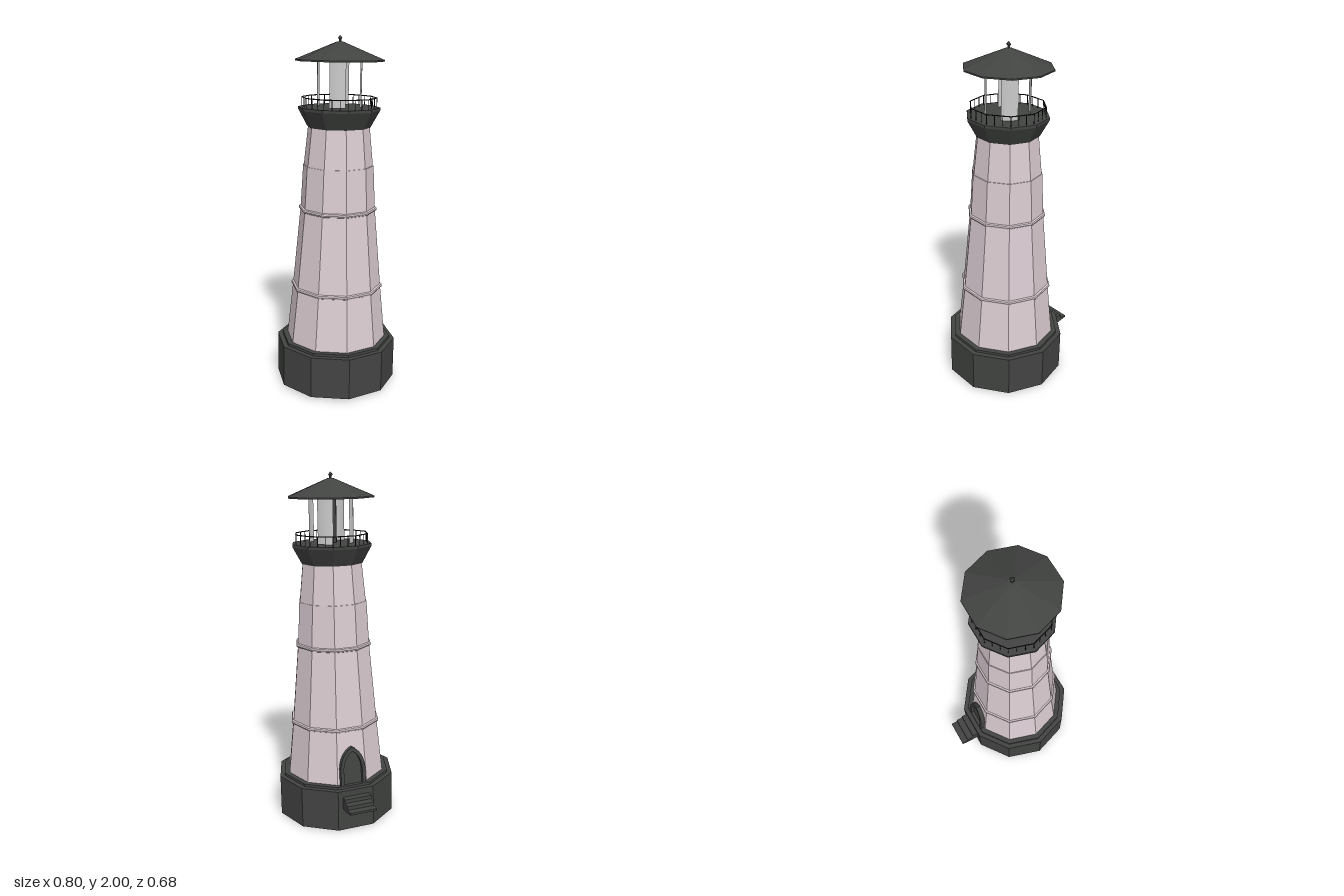
import * as THREE from 'three';

const DEG = Math.PI / 180;
const SIDES = 10;
const START = 20 * DEG; // angle of the first corner of every ten-sided part

const mat = (color, opts = {}) => new THREE.MeshStandardMaterial({ color, flatShading: true, ...opts });
const dark = mat(0x424442);
const black = mat(0x1c1c1c);
const wall = mat(0xdccdd3);
const pane = mat(0xcccccc, { flatShading: false, side: THREE.DoubleSide });

function add(parent, name, geometry, material) {
  const mesh = new THREE.Mesh(geometry, material);
  mesh.name = name;
  parent.add(mesh);
  return mesh;
}

// Ten-sided solid from [radius, height] pairs, listed bottom to top
function decagon(profile) {
  const pts = profile.map(([r, y]) => new THREE.Vector2(r, y));
  return new THREE.LatheGeometry(pts, SIDES, START, Math.PI * 2);
}

// Point on the outline of a decagon; t counts sides
function outline(r, t, y) {
  const corner = (k) => new THREE.Vector3().setFromCylindricalCoords(r, START + k * 36 * DEG, y);
  const k = Math.floor(t);
  return corner(k).lerp(corner(k + 1), t - k);
}

// Pointed arch standing on y = 0
function arch(w, spring, h, Type = THREE.Shape) {
  const s = new Type();
  s.moveTo(-w, 0);
  s.lineTo(w, 0);
  s.lineTo(w, spring);
  s.quadraticCurveTo(w * 0.9, h * 0.85, 0, h);
  s.quadraticCurveTo(-w * 0.9, h * 0.85, -w, spring);
  s.lineTo(-w, 0);
  return s;
}

function buildRailing() {
  const g = new THREE.Group();
  g.name = 'railing';
  const rail = new THREE.TorusGeometry(0.209, 0.003, 4, SIDES);
  rail.rotateX(Math.PI / 2).rotateY(2 * DEG);
  add(g, 'handrail', rail, black).position.y = 1.658;
  const post = new THREE.CylinderGeometry(0.0025, 0.0025, 0.055, 4);
  for (let i = 0; i < SIDES * 3; i++) {
    add(g, 'railPost', post, black).position.copy(outline(0.209, i / 3, 1.632));
  }
  return g;
}

function buildLantern() {
  const g = new THREE.Group();
  g.name = 'lantern';
  add(g, 'lampCore', new THREE.CylinderGeometry(0.03, 0.03, 0.255, 12), dark).position.y = 1.735;
  // Four curved panes with gaps between them
  for (let i = 0; i < 4; i++) {
    const geo = new THREE.CylinderGeometry(0.124, 0.124, 0.255, 5, 1, true, (38 - 21 + i * 90) * DEG, 42 * DEG);
    add(g, 'lanternPane', geo, pane).position.y = 1.735;
  }
  return g;
}

function buildEntrance() {
  const g = new THREE.Group();
  g.name = 'entrance';
  g.rotation.y = -106 * DEG; // local +z points out through the doorway

  // Arched doorway leaning back with the wall
  const door = new THREE.Group();
  door.name = 'doorway';
  door.position.set(0, 0.25, 0.262);
  door.rotation.x = -0.1;
  const frame = arch(0.075, 0.1, 0.225);
  frame.holes.push(arch(0.056, 0.095, 0.2, THREE.Path));
  add(door, 'doorFrame', new THREE.ExtrudeGeometry(frame, { depth: 0.042, bevelEnabled: false, curveSegments: 6 }), dark);
  add(door, 'door', new THREE.ExtrudeGeometry(arch(0.06, 0.096, 0.205), { depth: 0.022, bevelEnabled: false, curveSegments: 6 }), dark);
  g.add(door);

  // Stair flight with a sloping underside, drawn in side view
  const s = new THREE.Shape();
  s.moveTo(0.3, 0.135);
  s.lineTo(0.39, 0.135);
  s.lineTo(0.45, 0.148);
  s.lineTo(0.45, 0.16);
  for (let i = 0; i < 3; i++) {
    const r = 0.45 - (i + 1) * 0.041;
    s.lineTo(r, 0.16 + i * 0.022);
    s.lineTo(r, 0.16 + (i + 1) * 0.022);
  }
  s.lineTo(0.3, 0.226);
  const stairs = new THREE.ExtrudeGeometry(s, { depth: 0.16, bevelEnabled: false });
  stairs.translate(0, 0, -0.08).rotateY(-Math.PI / 2);
  add(g, 'stairs', stairs, dark);
  return g;
}

export function createModel() {
  const model = new THREE.Group();
  model.name = 'lighthouse';
  const tower = new THREE.Group();
  tower.name = 'tower';
  tower.position.set(0.053, 0.006, 0);
  tower.rotation.x = -1 * DEG; // slight lean to the back
  model.add(tower);

  // Plinth with a stepped top
  add(tower, 'plinth', decagon([[0, 0], [0.349, 0], [0.349, 0.24], [0.32, 0.24], [0.32, 0.255], [0, 0.255]]), dark);

  // Tapering walls
  add(tower, 'towerWall', decagon([
    [0.291, 0.25], [0.257, 0.57], [0.214, 1.03], [0.2, 1.28], [0.196, 1.28], [0.172, 1.51],
  ]), wall);

  // Raised bands around the walls
  for (const [r, y] of [[0.257, 0.57], [0.214, 1.03]]) {
    add(tower, 'band', decagon([
      [r - 0.005, y - 0.014], [r + 0.008, y - 0.008], [r + 0.011, y], [r + 0.008, y + 0.008], [r - 0.005, y + 0.014],
    ]), wall);
  }

  // Flared gallery
  add(tower, 'gallery', decagon([[0, 1.495], [0.177, 1.495], [0.229, 1.59], [0.229, 1.605], [0, 1.605]]), dark);
  tower.add(buildRailing(), buildLantern(), buildEntrance());

  // Roof and finial
  add(tower, 'roof', decagon([[0, 1.855], [0.247, 1.855], [0.247, 1.863], [0.02, 1.957], [0, 1.96]]), dark);
  add(tower, 'finialStem', new THREE.CylinderGeometry(0.006, 0.008, 0.03, 6), dark).position.y = 1.965;
  add(tower, 'finial', new THREE.OctahedronGeometry(0.016), dark).position.y = 1.978;
  return model;
}
